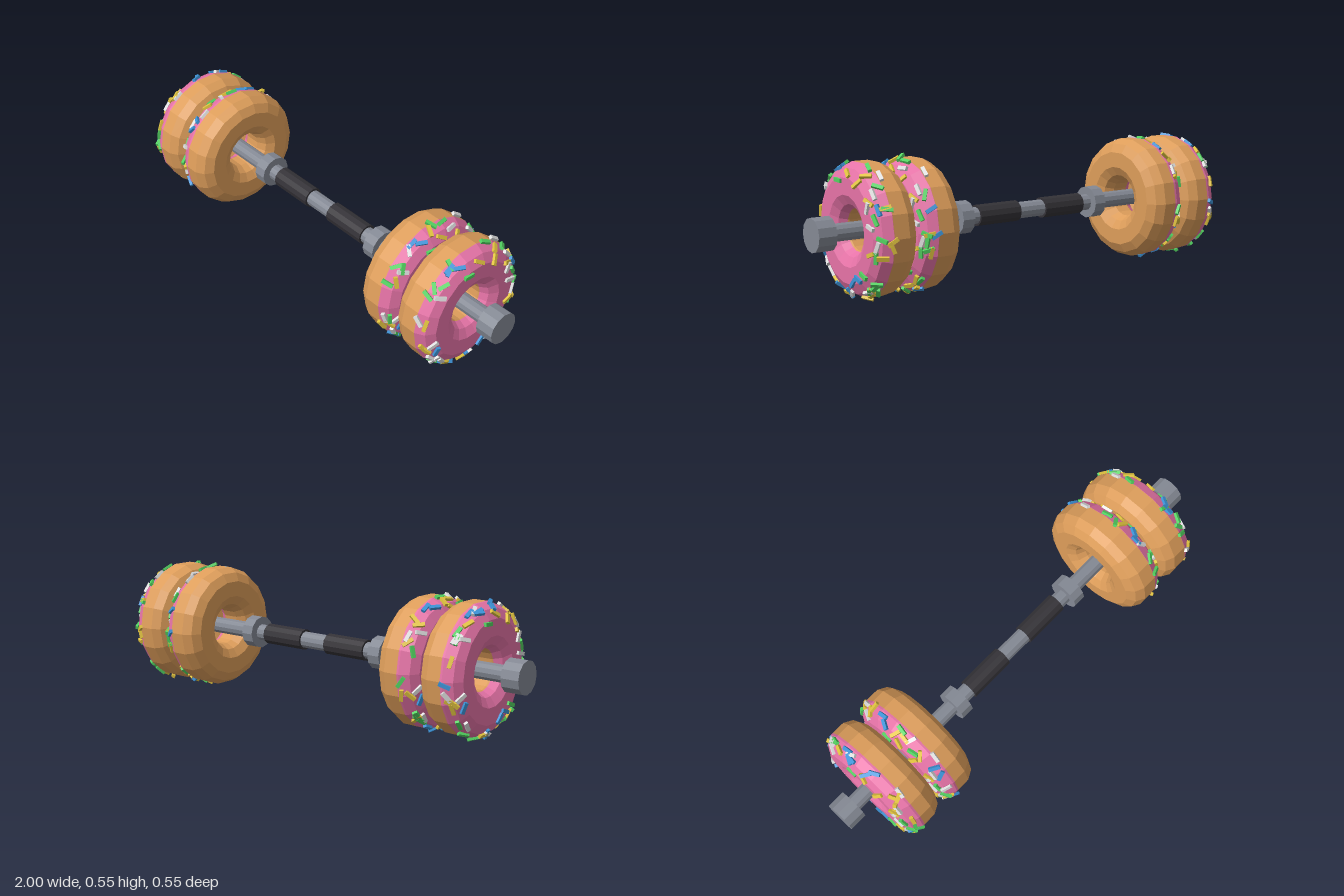
import * as THREE from 'three';

const AXIS_Y = 0.272;
const RING_RADIUS = 0.172; // centre of the doughnut's cross-section

function material(name, color) {
  const m = new THREE.MeshStandardMaterial({ color });
  m.name = name;
  return m;
}

// Gives every face its own normal for the faceted look
function faceted(geometry) {
  const g = geometry.toNonIndexed();
  g.computeVertexNormals();
  return g;
}

// Revolves [radial offset, axial offset] points around the x axis
function ring(points, segments = 18) {
  const profile = points.map(([r, u]) => new THREE.Vector2(RING_RADIUS + r, u));
  return faceted(new THREE.LatheGeometry(profile, segments).rotateZ(-Math.PI / 2));
}

function seeded(seed) {
  return () => {
    seed = (seed * 16807) % 2147483647;
    return seed / 2147483647;
  };
}

export function createModel() {
  const model = new THREE.Group();
  model.name = 'doughnutDumbbell';

  const steel = material('steel', 0x848994);
  const rubber = material('gripRubber', 0x343237);
  const dough = material('dough', 0xdd9d5a);
  const icing = material('icing', 0xe673a7);
  const yellow = material('yellowCandy', 0xe2c440);
  const green = material('greenCandy', 0x54d462);
  const blue = material('blueCandy', 0x3d94d8);
  const white = material('whiteCandy', 0xe0e0e0);

  // Rods, all lying along x
  function rod(parent, name, radius, x0, x1, mat) {
    const g = new THREE.CylinderGeometry(radius, radius, x1 - x0, 12).rotateZ(-Math.PI / 2);
    const mesh = new THREE.Mesh(faceted(g), mat);
    mesh.name = name;
    mesh.position.x = (x0 + x1) / 2;
    parent.add(mesh);
  }

  // Doughnut section: a rounded square, counter-clockwise
  const quarter = [[0.09, 0.033], [0.07, 0.07], [0.033, 0.09]];
  const upper = [...quarter, ...quarter.slice().reverse().map(([r, u]) => [-r, u])];
  const lower = upper.map(([r, u]) => [-r, -u]);
  const sprinkleGeometry = new THREE.BoxGeometry(0.046, 0.012, 0.015);

  // Sprinkles on the iced face: z and y in hundredths, then turn in degrees
  const faceSprinkles = [
    [yellow, [[-1, 22, -38], [-9, 19, 50], [-17, 13, -20], [-19, -6, 20], [23, -8, -10],
      [3, -24, 3], [-11, -23, 35]]],
    [green, [[5, 19, -3], [-21, 7, -55], [-21, -7, 85], [-24, 0, -15], [-13, -15, -22],
      [-16, -19, 25], [18, -17, -55]]],
    [blue, [[8, 23, -35], [11, 23, 30], [-9, -17, -20], [-5, -19, 45], [19, -10, 75],
      [1, -24, -80]]],
    [white, [[18, 15, -20], [-15, 22, -45], [-18, 16, -50], [-17, 11, 70], [-19, 4, -15],
      [-22, -3, 65], [21, -6, 40], [15, -18, -55]]],
  ];
  const rimCandy = [yellow, green, white, yellow, green, blue];

  // Lays a sprinkle on the icing at a radial offset r and an angle around the axis
  function addSprinkle(group, r, angle, direction, mat) {
    const k = r > 0.07 ? 0 : r > 0.033 ? 1 : 2;
    const [a, b] = [upper[k], upper[k + 1]];
    const u = THREE.MathUtils.mapLinear(r, a[0], b[0], a[1], b[1]);
    const c = Math.cos(angle), n = Math.sin(angle);
    const slope = new THREE.Vector2(b[1] - a[1], a[0] - b[0]).normalize();
    const normal = new THREE.Vector3(slope.y, slope.x * c, slope.x * n);
    const along = direction.projectOnPlane(normal).normalize();
    const across = new THREE.Vector3().crossVectors(along, normal);
    const mesh = new THREE.Mesh(sprinkleGeometry, mat);
    mesh.name = 'sprinkle';
    mesh.quaternion.setFromRotationMatrix(new THREE.Matrix4().makeBasis(along, normal, across));
    mesh.position.set(u, (RING_RADIUS + r) * c, (RING_RADIUS + r) * n);
    mesh.position.addScaledVector(normal, 0.003);
    group.add(mesh);
  }

  // The section is split into icing on the outward side and bare dough
  function doughnut(x, icingEdge, seed) {
    const group = new THREE.Group();
    group.name = 'doughnut';
    group.position.x = x;
    const rim = [0.09, icingEdge];
    const hole = [-0.087, 0.039];
    const holeCorner = upper[5];
    const body = new THREE.Mesh(ring([hole, holeCorner, ...lower, rim]), dough);
    body.name = 'doughRing';
    const top = new THREE.Mesh(ring([rim, ...upper.slice(0, 5), hole]), icing);
    top.name = 'icing';
    group.add(body, top);

    for (const [mat, spots] of faceSprinkles) {
      for (const [z, y, turn] of spots) {
        const t = THREE.MathUtils.degToRad(turn);
        addSprinkle(group, Math.hypot(z, y) / 100 - RING_RADIUS, Math.atan2(z, y),
          new THREE.Vector3(0, Math.sin(t), -Math.cos(t)), mat);
      }
    }

    // More sprinkles scattered along the steep rim
    const random = seeded(seed);
    for (let i = 0; i < 32; i++) {
      const r = 0.068 + random() * 0.02;
      const angle = random() * Math.PI * 2;
      const t = random() * Math.PI;
      const direction = new THREE.Vector3(
        Math.cos(t), -Math.sin(angle) * Math.sin(t), Math.cos(angle) * Math.sin(t));
      addSprinkle(group, r, angle, direction, rimCandy[i % rimCandy.length]);
    }
    return group;
  }

  // Bar through the middle
  const bar = new THREE.Group();
  bar.name = 'bar';
  bar.position.y = AXIS_Y;
  model.add(bar);
  rod(bar, 'shaft', 0.035, -0.95, 0.95, steel);

  // Each side is the same build turned half way round
  for (const side of [1, -1]) {
    const half = new THREE.Group();
    half.name = side > 0 ? 'leftSide' : 'rightSide';
    half.position.y = AXIS_Y;
    half.rotation.y = side > 0 ? 0 : Math.PI;
    rod(half, 'grip', 0.044, 0.065, 0.265, rubber);
    rod(half, 'collar', 0.068, 0.312, 0.367, steel);
    rod(half, 'endCap', 0.067, 0.925, 1, steel);
    const edge = side > 0 ? 0.032 : 0.024;
    half.add(doughnut(0.572, edge, 311 + side * 40));
    half.add(doughnut(0.764, edge, 7919 + side * 500));
    model.add(half);
  }
  return model;
}
